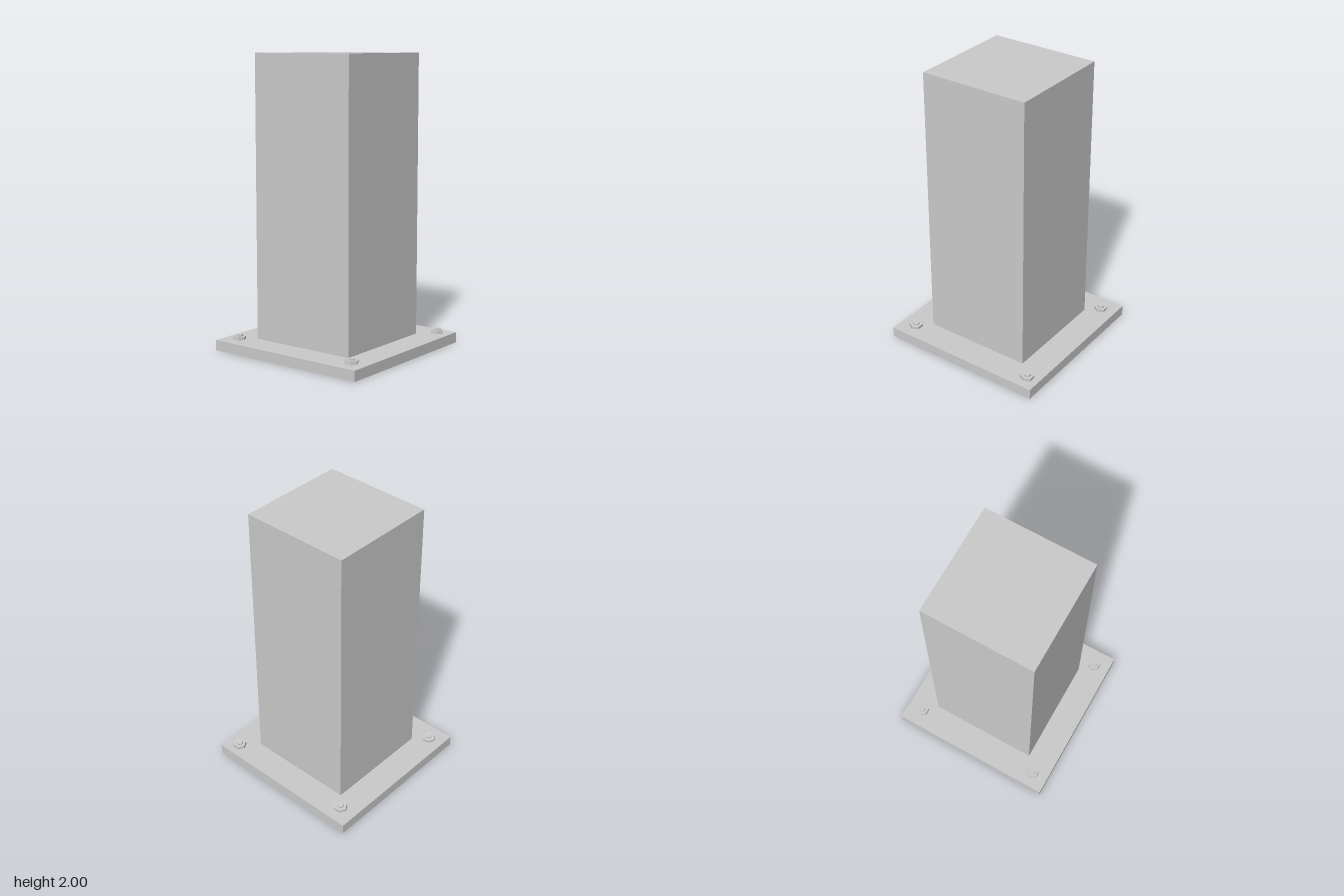
import * as THREE from 'three';

const material = new THREE.MeshStandardMaterial({ color: 0xcccccc, flatShading: true, side: THREE.DoubleSide });

const PLATE = 0.587;   // half width of the base plate
const POST = 0.387;    // half width of the post
const PLATE_TOP = 0.072;
const HEIGHT = 2;

function addMesh(parent, name, geometry) {
  const mesh = new THREE.Mesh(geometry, material);
  mesh.name = name;
  parent.add(mesh);
  return mesh;
}

function square(h) {
  return [[-h, -h], [h, -h], [h, h], [-h, h]].map(([x, y]) => new THREE.Vector2(x, y));
}

// Four thin upright walls, open at top and bottom
function addWalls(parent, name, half, y0, y1) {
  for (let i = 0; i < 4; i++) {
    const wall = new THREE.PlaneGeometry(half * 2, y1 - y0);
    wall.translate(0, (y0 + y1) / 2, half).rotateY(i * Math.PI / 2);
    addMesh(parent, name, wall);
  }
}

// Hexagonal prism with corners pointing along x
function hexPrism(radius, y0, y1) {
  return new THREE.CylinderGeometry(radius, radius, y1 - y0, 6)
    .rotateY(Math.PI / 2).translate(0, (y0 + y1) / 2, 0);
}

export function createModel() {
  const model = new THREE.Group();
  model.name = 'boltedPost';

  // Base plate: a sheet with a square opening and a folded rim, open below
  const base = new THREE.Group();
  base.name = 'basePlate';
  const sheet = new THREE.Shape(square(PLATE));
  sheet.holes.push(new THREE.Path(square(POST).reverse()));
  addMesh(base, 'plateTop', new THREE.ShapeGeometry(sheet).rotateX(-Math.PI / 2).translate(0, PLATE_TOP, 0));
  addWalls(base, 'plateRim', PLATE, 0, PLATE_TOP);
  model.add(base);

  // Hollow post, closed at the top
  const post = new THREE.Group();
  post.name = 'post';
  addWalls(post, 'postWall', POST, PLATE_TOP, HEIGHT);
  addMesh(post, 'postCap', new THREE.PlaneGeometry(POST * 2, POST * 2).rotateX(-Math.PI / 2).translate(0, HEIGHT, 0));
  model.add(post);

  // Nuts with bolt ends, slightly tilted and unevenly placed
  const spots = [[-0.466, -0.474], [0.489, -0.496], [-0.48, 0.47], [0.475, 0.472]];
  for (const [x, z] of spots) {
    const bolt = new THREE.Group();
    bolt.name = 'bolt';
    addMesh(bolt, 'nut', hexPrism(0.047, -0.005, 0.022));
    addMesh(bolt, 'boltEnd', hexPrism(0.024, 0.022, 0.033));
    bolt.position.set(x, PLATE_TOP, z);
    bolt.rotation.x = -0.08;
    model.add(bolt);
  }
  return model;
}
